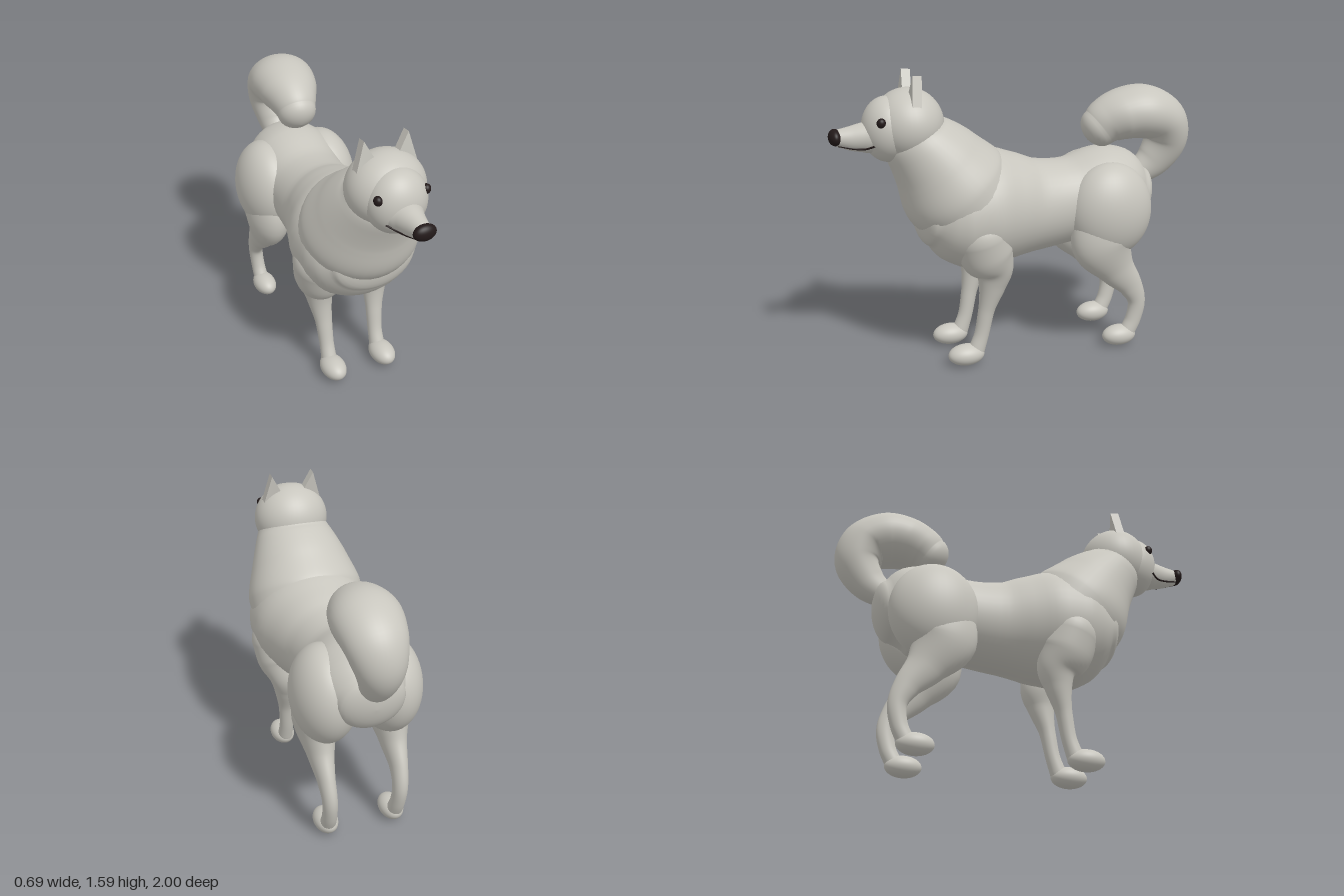
import * as THREE from 'three';

const coat = new THREE.MeshStandardMaterial({ color: 0xc8c6be });
coat.name = 'pale grey coat';
const dark = new THREE.MeshStandardMaterial({ color: 0x231a1a });
dark.name = 'dark nose and eyes';

// Smooth skin through elliptical sections [x, y, z, halfWidth, halfDepth], with rounded ends.
function loft(sections, capStart, capEnd, steps = 40, sides = 40) {
  const path = new THREE.CatmullRomCurve3(sections.map(s => new THREE.Vector3(s[0], s[1], s[2])));
  const size = new THREE.CatmullRomCurve3(sections.map(s => new THREE.Vector3(s[3], s[4], 0)));
  const pos = [], index = [];
  const ring = (u, shift, scale) => {
    const t = path.getTangent(u);
    const c = path.getPoint(u).addScaledVector(t, shift);
    const r = size.getPoint(u).multiplyScalar(scale);
    const side = new THREE.Vector3(1, 0, 0).addScaledVector(t, -t.x).normalize();
    const up = t.clone().cross(side);
    for (let j = 0; j < sides; j++) {
      const a = (j / sides) * Math.PI * 2;
      const p = c.clone().addScaledVector(side, r.x * Math.cos(a)).addScaledVector(up, r.y * Math.sin(a));
      pos.push(p.x, p.y, p.z);
    }
  };
  const K = 8, q = Math.PI / 2 / K;
  for (let k = K; k > 0; k--) ring(0, -capStart * Math.sin(k * q), Math.max(Math.cos(k * q), 1e-3));
  for (let i = 0; i <= steps; i++) ring(i / steps, 0, 1);
  for (let k = 1; k <= K; k++) ring(1, capEnd * Math.sin(k * q), Math.max(Math.cos(k * q), 1e-3));
  for (let i = 0; i < steps + 2 * K; i++) {
    for (let j = 0; j < sides; j++) {
      const a = i * sides + j, b = i * sides + (j + 1) % sides;
      index.push(a, b, a + sides, b, b + sides, a + sides);
    }
  }
  const g = new THREE.BufferGeometry();
  g.setAttribute('position', new THREE.Float32BufferAttribute(pos, 3));
  g.setIndex(index);
  g.computeVertexNormals();
  return g;
}

export function createModel() {
  const dog = new THREE.Group();
  dog.name = 'dog';
  const add = (name, geometry, material = coat) => {
    const m = new THREE.Mesh(geometry, material);
    m.name = name;
    dog.add(m);
    return m;
  };
  const ball = (name, x, y, z, rx, ry, rz, material) => {
    const m = add(name, new THREE.SphereGeometry(1, 40, 28), material);
    m.position.set(x, y, z);
    m.scale.set(rx, ry, rz);
    return m;
  };

  // Trunk from rump to chest
  add('body', loft([
    [0, 0.85, -0.70, 0.18, 0.165],
    [0, 0.865, -0.61, 0.24, 0.235],
    [0, 0.865, -0.50, 0.262, 0.255],
    [0, 0.835, -0.30, 0.23, 0.235],
    [0, 0.825, -0.10, 0.24, 0.255],
    [0, 0.835, 0.05, 0.285, 0.295],
    [0, 0.845, 0.20, 0.33, 0.322],
    [0, 0.84, 0.34, 0.325, 0.31],
    [0, 0.84, 0.42, 0.295, 0.262],
    [0, 0.845, 0.49, 0.235, 0.18],
  ], 0.08, 0.07));

  // Ruff rising from the shoulders to the head
  add('neckRuff', loft([
    [0, 0.90, 0.285, 0.315, 0.285],
    [0, 0.97, 0.345, 0.318, 0.298],
    [0, 1.11, 0.445, 0.27, 0.247],
    [0, 1.23, 0.54, 0.215, 0.19],
    [0, 1.28, 0.57, 0.19, 0.17],
  ], 0.15, 0.06));

  // Head, face and muzzle
  ball('head', 0, 1.32, 0.588, 0.205, 0.191, 0.186);
  ball('face', 0, 1.305, 0.695, 0.158, 0.17, 0.135);
  add('muzzle', loft([
    [0, 1.285, 0.68, 0.13, 0.13],
    [0, 1.28, 0.75, 0.115, 0.105],
    [0, 1.27, 0.785, 0.10, 0.085],
    [0, 1.27, 0.83, 0.078, 0.075],
    [0, 1.27, 0.88, 0.062, 0.065],
    [0, 1.275, 0.945, 0.046, 0.047],
  ], 0.03, 0.025));
  ball('nose', 0, 1.28, 0.967, 0.06, 0.043, 0.033, dark);

  // Curled tail, leaning slightly to one side
  add('tail', loft([
    [0.01, 0.94, -0.70, 0.06, 0.065],
    [0.02, 1.02, -0.81, 0.09, 0.1],
    [0.03, 1.14, -0.875, 0.13, 0.12],
    [0.04, 1.25, -0.84, 0.16, 0.135],
    [0.04, 1.305, -0.72, 0.178, 0.148],
    [0.03, 1.295, -0.60, 0.162, 0.14],
    [0.022, 1.262, -0.52, 0.13, 0.127],
    [0.018, 1.228, -0.475, 0.108, 0.112],
  ], 0.03, 0.09, 60));

  for (const s of [1, -1]) {
    const side = s > 0 ? 'left' : 'right';
    const mirror = rows => rows.map(([x, ...rest]) => [x * s, ...rest]);

    // Wedge ears
    const ear = new THREE.Shape([
      new THREE.Vector2(0.055 * s, 0.04), new THREE.Vector2(0.165 * s, -0.01), new THREE.Vector2(0.118 * s, 0.155),
    ]);
    const earMesh = add(side + 'Ear', new THREE.ExtrudeGeometry(ear, { depth: 0.048, bevelEnabled: false }));
    earMesh.position.set(0, 1.43, 0.555);
    earMesh.rotation.x = -0.1;

    // Eyes and mouth line
    ball(side + 'Eye', 0.127 * s, 1.362, 0.754, 0.023, 0.026, 0.024, dark).rotation.z = -0.3 * s;
    const lip = new THREE.CatmullRomCurve3([
      [0.024, 1.24, 0.955], [0.045, 1.224, 0.88], [0.063, 1.222, 0.83], [0.099, 1.24, 0.785],
    ].map(([x, y, z]) => new THREE.Vector3(x * s, y, z)));
    add(side + 'Mouth', new THREE.TubeGeometry(lip, 24, 0.005, 8), dark);

    // Front leg
    add(side + 'FrontLeg', loft(mirror([
      [0.185, 0.74, 0.26, 0.15, 0.15],
      [0.18, 0.63, 0.225, 0.135, 0.145],
      [0.168, 0.54, 0.185, 0.1, 0.107],
      [0.165, 0.45, 0.192, 0.07, 0.075],
      [0.155, 0.31, 0.223, 0.047, 0.044],
      [0.15, 0.17, 0.25, 0.04, 0.04],
      [0.15, 0.08, 0.28, 0.042, 0.045],
    ]), 0.14, 0.04));
    ball(side + 'FrontPaw', 0.152 * s, 0.062, 0.338, 0.067, 0.058, 0.1);

    // Hind leg
    ball(side + 'Thigh', 0.172 * s, 0.80, -0.48, 0.173, 0.265, 0.238);
    add(side + 'HindLeg', loft(mirror([
      [0.19, 0.74, -0.458, 0.125, 0.19],
      [0.20, 0.63, -0.435, 0.118, 0.182],
      [0.20, 0.475, -0.515, 0.072, 0.108],
      [0.20, 0.36, -0.605, 0.047, 0.07],
      [0.195, 0.26, -0.65, 0.04, 0.05],
      [0.19, 0.15, -0.635, 0.039, 0.045],
      [0.187, 0.075, -0.60, 0.042, 0.045],
    ]), 0.12, 0.04));
    ball(side + 'HindPaw', 0.185 * s, 0.062, -0.552, 0.064, 0.058, 0.098);
  }
  return dog;
}
